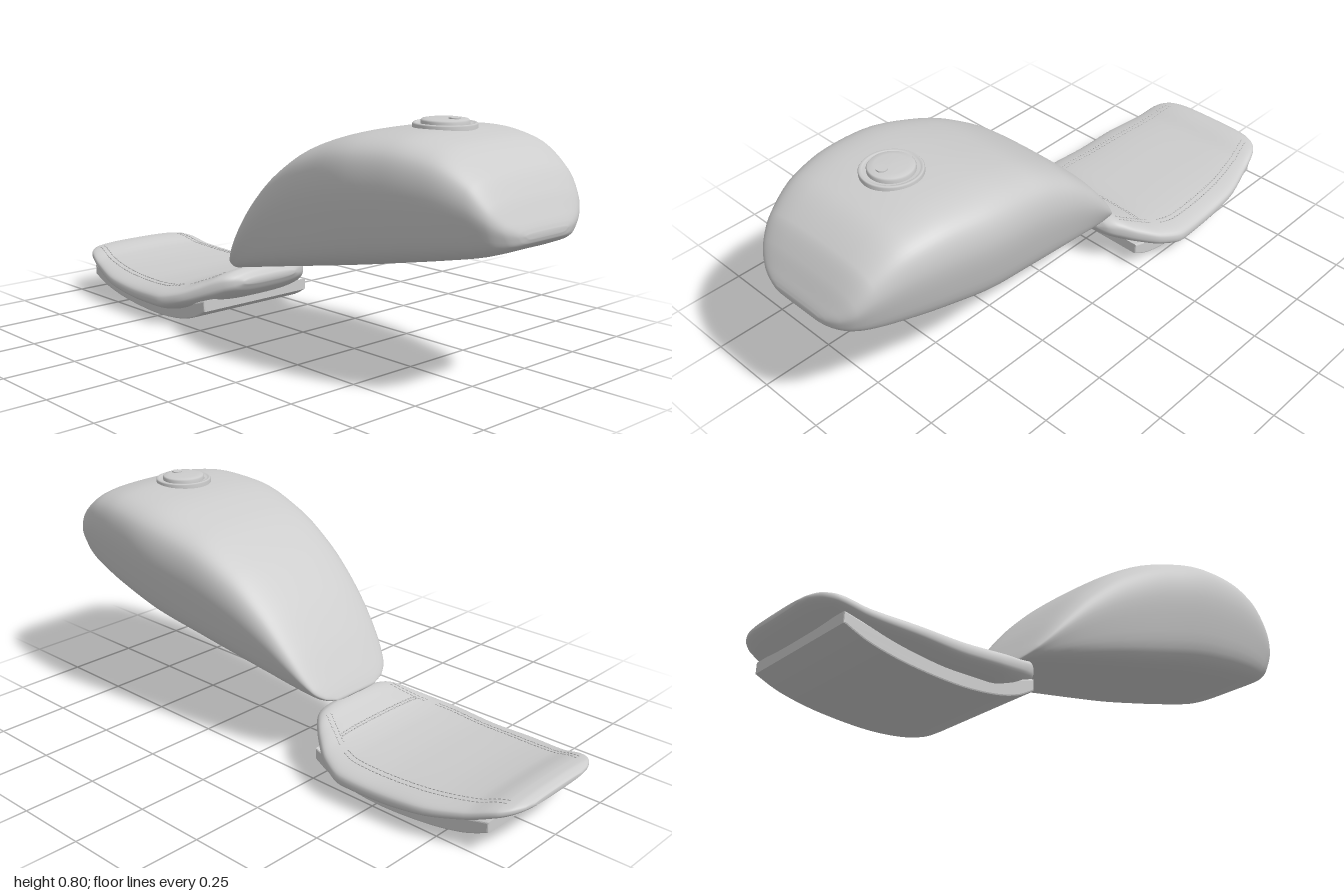
import * as THREE from 'three';
import { mergeGeometries } from 'three/addons/utils/BufferGeometryUtils.js';

// Stations along x: [x, top, bottom, half width]
const TANK = [
  [-0.212, 0.213, 0.205, 0.09], [-0.2, 0.235, 0.208, 0.14], [-0.175, 0.275, 0.215, 0.177],
  [-0.1, 0.385, 0.232, 0.215], [0, 0.505, 0.253, 0.243], [0.13, 0.618, 0.28, 0.27],
  [0.3, 0.71, 0.315, 0.298], [0.5, 0.76, 0.357, 0.322], [0.65, 0.769, 0.388, 0.308],
  [0.78, 0.75, 0.415, 0.283], [0.9, 0.68, 0.442, 0.243], [0.95, 0.615, 0.46, 0.212],
  [0.98, 0.56, 0.475, 0.17], [0.995, 0.53, 0.487, 0.125], [1, 0.515, 0.5, 0.09],
];
const PAD = [
  [-1, 0.162, 0.148, 0.12], [-0.992, 0.168, 0.141, 0.165], [-0.97, 0.174, 0.128, 0.21],
  [-0.94, 0.173, 0.114, 0.235], [-0.85, 0.15, 0.08, 0.263], [-0.7, 0.135, 0.048, 0.3],
  [-0.55, 0.131, 0.032, 0.309], [-0.42, 0.138, 0.032, 0.315], [-0.34, 0.152, 0.05, 0.29],
  [-0.27, 0.18, 0.076, 0.243], [-0.21, 0.205, 0.105, 0.19], [-0.185, 0.197, 0.125, 0.158],
  [-0.168, 0.172, 0.152, 0.11],
];

// Smooth, overshoot-free interpolation of column k at x
function sample(table, x, k) {
  const last = table.length - 1;
  let i = 0;
  while (i < last - 1 && x > table[i + 1][0]) i++;
  const slope = (n) => (table[n + 1][k] - table[n][k]) / (table[n + 1][0] - table[n][0]);
  const tangent = (n) => {
    if (n === 0) return slope(0);
    if (n === last) return slope(last - 1);
    const a = slope(n - 1), b = slope(n);
    return a * b <= 0 ? 0 : (2 * a * b) / (a + b);
  };
  const d = table[i + 1][0] - table[i][0], u = (x - table[i][0]) / d;
  const u2 = u * u, u3 = u2 * u;
  return (2 * u3 - 3 * u2 + 1) * table[i][k] + (u3 - 2 * u2 + u) * d * tangent(i)
    + (3 * u2 - 2 * u3) * table[i + 1][k] + (u3 - u2) * d * tangent(i + 1);
}

// Closed smooth body; outline gives [z fraction, height fraction] from bottom via +z to top
function loft(table, outline, steps = 5) {
  const xs = [table[0][0]];
  for (let i = 1; i < table.length; i++)
    for (let s = 1; s <= steps; s++) xs.push(THREE.MathUtils.lerp(table[i - 1][0], table[i][0], s / steps));
  const n = outline.length, pos = [], index = [];
  for (const x of xs) {
    const t = sample(table, x, 1), b = sample(table, x, 2), w = sample(table, x, 3);
    for (const [z, h] of outline) pos.push(x, b + (t - b) * h, z * w);
  }
  for (let i = 0; i < xs.length - 1; i++)
    for (let j = 0; j < n; j++) {
      const a = i * n + j, a2 = i * n + (j + 1) % n;
      index.push(a, a + n, a2, a + n, a2 + n, a2);
    }
  const end = (xs.length - 1) * n, c = xs.length * n;
  for (const row of [table[0], table[table.length - 1]]) pos.push(row[0], (row[1] + row[2]) / 2, 0);
  for (let j = 0; j < n; j++) {
    const k = (j + 1) % n;
    index.push(c, j, k, c + 1, end + k, end + j);
  }
  const g = new THREE.BufferGeometry();
  g.setAttribute('position', new THREE.Float32BufferAttribute(pos, 3));
  g.setIndex(index);
  g.computeVertexNormals();
  return g;
}

// Tank section: flat belly, tapered flanks, broad shoulders
function tankOutline() {
  const half = [[0.42, 0], [0.7, 0.025], [0.84, 0.12], [0.94, 0.35], [1, 0.6], [0.985, 0.76],
    [0.93, 0.86], [0.82, 0.93], [0.63, 0.975], [0.35, 0.995]];
  const loop = [[0, 0], ...half, [0, 1], ...half.map(([z, h]) => [-z, h]).reverse()];
  const curve = new THREE.CatmullRomCurve3(loop.map(([z, h]) => new THREE.Vector3(z, h, 0)), true);
  return curve.getPoints(72).slice(0, -1).map((p) => [p.x, p.y]);
}

// Pad section: squarish superellipse
const POWER = 2.8;
function padOutline() {
  const round = (v) => Math.sign(v) * Math.abs(v) ** (2 / POWER);
  return Array.from({ length: 64 }, (_, i) => {
    const a = (i / 64) * Math.PI * 2;
    return [round(Math.sin(a)), 0.5 - 0.5 * round(Math.cos(a))];
  });
}
function padTop(x, z) {
  const t = sample(PAD, x, 1), b = sample(PAD, x, 2), w = sample(PAD, x, 3);
  const f = Math.max(0, 1 - Math.abs(z / w) ** POWER) ** (1 / POWER);
  return (t + b) / 2 + ((t - b) / 2) * f;
}

// Row of small stitches following the pad along a path of [x, z] points
function stitchRow(points) {
  const path = new THREE.CatmullRomCurve3(points.map(([x, z]) => new THREE.Vector3(x, 0, z)));
  const count = Math.round(path.getLength() / 0.014), parts = [];
  const at = (u) => {
    const p = path.getPointAt(u);
    return p.setY(padTop(p.x, p.z));
  };
  const m = new THREE.Object3D();
  for (let i = 0; i < count; i++) {
    m.position.copy(at((i + 0.5) / count));
    m.lookAt(at((i + 1) / count));
    m.updateMatrix();
    parts.push(new THREE.BoxGeometry(0.004, 0.005, 0.009).applyMatrix4(m.matrix));
  }
  return mergeGeometries(parts);
}

export function createModel() {
  const model = new THREE.Group();
  const grey = new THREE.MeshStandardMaterial({ color: 0xcccccc });
  grey.name = 'light grey';
  const add = (name, geometry, parent = model) => {
    const mesh = new THREE.Mesh(geometry, grey);
    mesh.name = name;
    parent.add(mesh);
    return mesh;
  };

  add('fuelTank', loft(TANK, tankOutline()));

  // Filler cap: stepped collar, domed lid and lock
  const cap = new THREE.Group();
  cap.name = 'fillerCap';
  cap.position.set(0.62, 0.766, 0);
  model.add(cap);
  const turned = (pts) => new THREE.LatheGeometry(pts.map(([r, y]) => new THREE.Vector2(r, y)), 48);
  add('capCollar', turned([[0.097, -0.02], [0.097, 0.009], [0.094, 0.013], [0.086, 0.013], [0.083, 0.008], [0, 0.008]]), cap);
  add('capLid', turned([[0.073, 0], [0.073, 0.018], [0.069, 0.023], [0.05, 0.026], [0, 0.027]]), cap);
  add('capLock', new THREE.CylinderGeometry(0.018, 0.018, 0.008, 24), cap).position.set(0.035, 0.026, 0);

  // Seat pad and its stitching
  const seat = new THREE.Group();
  seat.name = 'seat';
  model.add(seat);
  add('seatPad', loft(PAD, padOutline()), seat);
  for (const side of [1, -1])
    for (const inset of [0, 0.018]) {
      const row = (pts) => stitchRow(pts.map(([x, z]) => [x, side * (z - inset)]));
      add('sideStitching', row([[-0.95, 0.19], [-0.85, 0.212], [-0.7, 0.237], [-0.55, 0.247], [-0.42, 0.25], [-0.37, 0.238]]), seat);
      add('frontStitching', row([[-0.34, 0.222], [-0.28, 0.19], [-0.23, 0.165]]), seat);
    }
  for (const x of [-0.318, -0.309]) add('crossStitching', stitchRow([[x, -0.19], [x, 0], [x, 0.19]]), seat);

  // Curved seat base under the pad
  const base = new THREE.Shape();
  base.moveTo(-0.915, 0.078);
  base.splineThru([[-0.83, 0.044], [-0.7, 0.018], [-0.53, 0.005], [-0.4, 0.013], [-0.31, 0.035], [-0.25, 0.066]]
    .map(([x, y]) => new THREE.Vector2(x, y)));
  base.lineTo(-0.25, 0.096);
  base.splineThru([[-0.35, 0.07], [-0.55, 0.05], [-0.75, 0.07], [-0.915, 0.105]]
    .map(([x, y]) => new THREE.Vector2(x, y)));
  base.closePath();
  const baseGeometry = new THREE.ExtrudeGeometry(base, {
    depth: 0.46, bevelThickness: 0.005, bevelSize: 0.005, bevelSegments: 2, curveSegments: 24,
  });
  add('seatBase', baseGeometry.translate(0, 0, -0.23), seat);

  return model;
}
